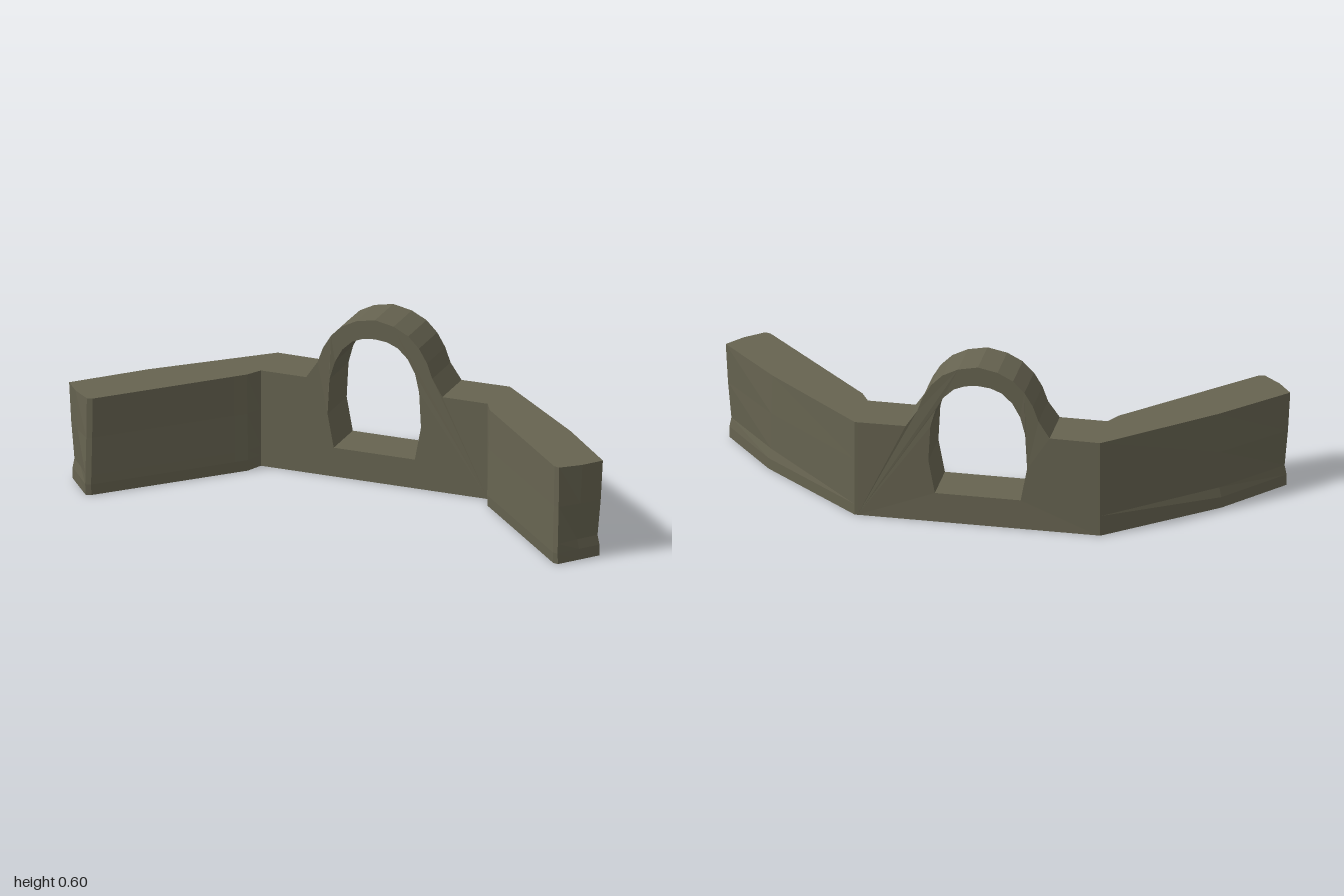
import * as THREE from 'three';

const material = new THREE.MeshStandardMaterial({ color: 0x666350, flatShading: true });

// Heights of the wall courses, and how far the tip and the faces wander at each
const levels = [0, 0.04, 0.075, 0.21, 0.355];
const frontBulge = [0.012, 0.015, 0.013, 0.005, 0];
const tipInset = [0.013, 0.013, 0.02, 0.008, 0];
const backBulge = [0.012, 0.012, 0.004, 0.004, 0];

function mesh(name, geometry) {
  geometry.computeVertexNormals();
  const m = new THREE.Mesh(geometry, material);
  m.name = name;
  return m;
}

// Middle wall with its arched opening
function gateWall() {
  const outerHalf = [
    [0.425, 0], [0.427, 0.355], [0.255, 0.355], [0.215, 0.415], [0.195, 0.47],
    [0.165, 0.52], [0.125, 0.56], [0.07, 0.588],
  ];
  const holeHalf = [
    [0.152, 0.107], [0.175, 0.23], [0.168, 0.36], [0.15, 0.425],
    [0.122, 0.475], [0.085, 0.51], [0.045, 0.526],
  ];
  // Mirrors a half outline about x = 0, with one point at the crown
  const close = (half, crown) => [
    ...half, [0, crown], ...half.slice().reverse().map(([x, y]) => [-x, y]),
  ].map(([x, y]) => new THREE.Vector2(x, y));

  const shape = new THREE.Shape(close(outerHalf, 0.602));
  shape.holes.push(new THREE.Path(close(holeHalf, 0.531)));
  const geometry = new THREE.ExtrudeGeometry(shape, { depth: 1, bevelEnabled: false });
  const p = geometry.attributes.position;
  for (let i = 0; i < p.count; i++) {
    const x = Math.abs(p.getX(i)), y = p.getY(i);
    // The back bows in slightly at the middle; the front steps back at the arch
    const front = y > 0.39 ? -0.16 : -0.154;
    const back = y > 0.39 ? -0.329 : -0.328 - 0.016 * x;
    p.setZ(i, p.getZ(i) > 0.5 ? front : back);
  }
  return mesh('gateWall', geometry);
}

// Side wall: a plan outline raised through the courses
function wingWall(side) {
  const plan = [
    [0.425, -0.335], [0.435, -0.335], [0.79, -0.02], [1.0, 0.2], [0.95, 0.265],
    [0.885, 0.32], [0.865, 0.315], [0.49, -0.065], [0.455, -0.1], [0.425, -0.154],
  ];
  const shape = new THREE.Shape(plan.map(([x, z]) => new THREE.Vector2(side * x, -z)));
  const steps = levels.length - 1;
  const geometry = new THREE.ExtrudeGeometry(shape, { depth: steps, steps, bevelEnabled: false });
  geometry.rotateX(-Math.PI / 2);
  const p = geometry.attributes.position;
  for (let i = 0; i < p.count; i++) {
    const k = Math.round(p.getY(i));
    let x = Math.abs(p.getX(i)), z = p.getZ(i);
    if (x > 0.94) x -= tipInset[k];
    else if (x > 0.86) z += frontBulge[k];
    else if (x > 0.7) { x += backBulge[k]; z -= backBulge[k] * 0.6; }
    else if (x > 0.45) { x -= frontBulge[k] * 0.5; z += frontBulge[k] * 0.5; }
    p.setXYZ(i, side * x, levels[k], z);
  }
  return mesh(side > 0 ? 'leftWingWall' : 'rightWingWall', geometry);
}

export function createModel() {
  const group = new THREE.Group();
  group.name = 'archedWall';
  group.add(gateWall(), wingWall(1), wingWall(-1));
  return group;
}
